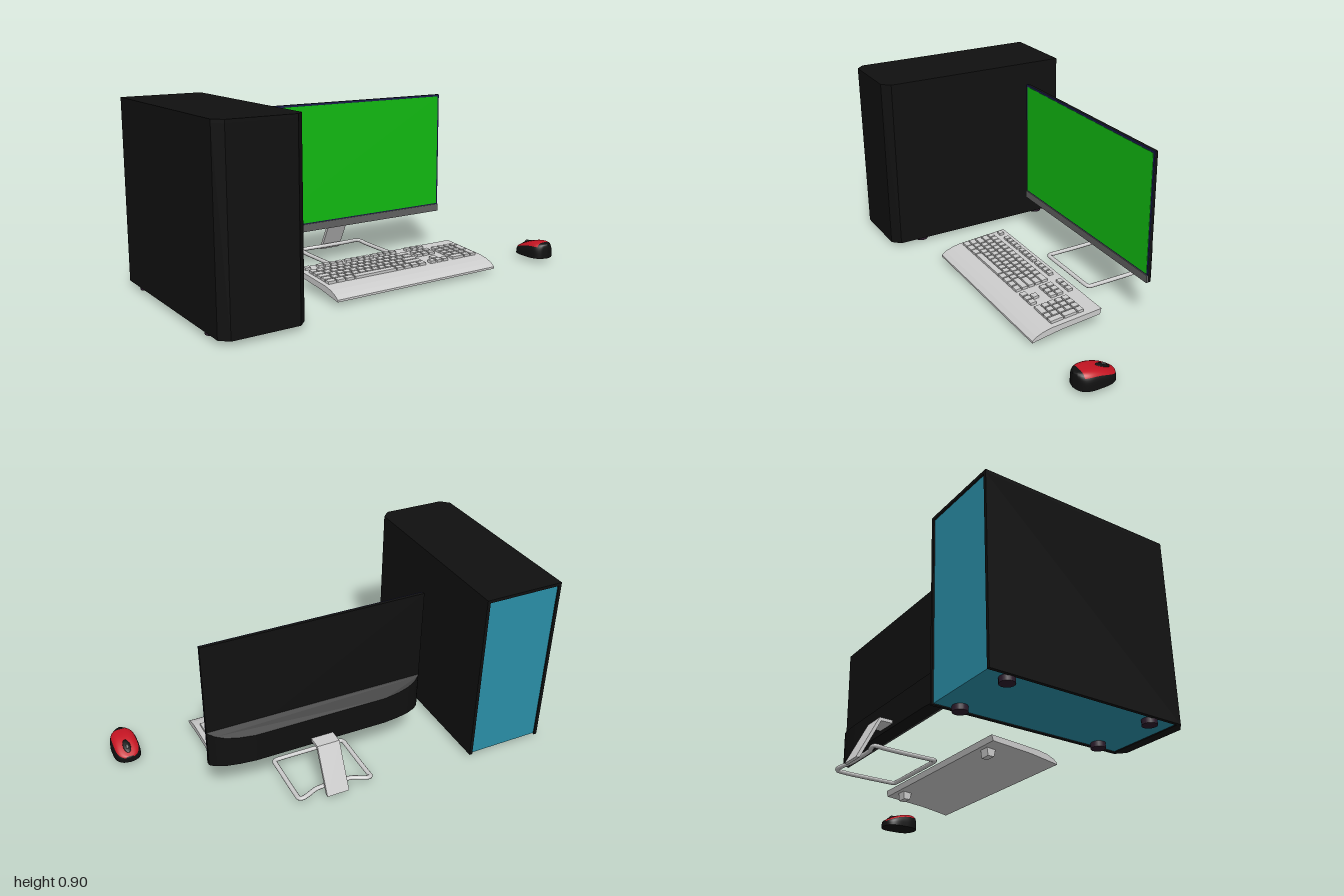
import * as THREE from 'three';
import { ParametricGeometry } from 'three/addons/geometries/ParametricGeometry.js';

const mat = (color, side = THREE.FrontSide) => new THREE.MeshStandardMaterial({ color, side });
const grey = mat(0xcccccc), black = mat(0x101010), teal = mat(0x2a8fa8), green = mat(0x11bb11);
const red = mat(0xc41422, THREE.DoubleSide), navy = mat(0x1c1c50), darkGrey = mat(0x606060), plum = mat(0x2c1c2c);

function add(parent, name, geometry, material) {
  const mesh = new THREE.Mesh(geometry, material);
  mesh.name = name;
  parent.add(mesh);
  return mesh;
}

function group(parent, name) {
  const g = new THREE.Group();
  g.name = name;
  parent.add(g);
  return g;
}

// Box given by its limits on each axis
function box(parent, name, [x0, x1], [y0, y1], [z0, z1], material) {
  const g = new THREE.BoxGeometry(x1 - x0, y1 - y0, z1 - z0);
  g.translate((x0 + x1) / 2, (y0 + y1) / 2, (z0 + z1) / 2);
  add(parent, name, g, material);
}

// Outline in (x, z), extruded upwards
function planExtrude(points, y0, y1) {
  const shape = new THREE.Shape(points.map(([x, z]) => new THREE.Vector2(x, -z)));
  const g = new THREE.ExtrudeGeometry(shape, { depth: y1 - y0, bevelEnabled: false });
  return g.rotateX(-Math.PI / 2).translate(0, y0, 0);
}

// Outline in (z, y), extruded sideways
function sideExtrude(points, x0, x1) {
  const shape = new THREE.Shape(points.map(([z, y]) => new THREE.Vector2(-z, y)));
  const g = new THREE.ExtrudeGeometry(shape, { depth: x1 - x0, bevelEnabled: false });
  return g.rotateY(Math.PI / 2).translate(x0, 0, 0);
}

function buildTower(root) {
  const tower = group(root, 'computerTower');
  // Wraparound shell with chamfered front corners
  const outline = [[-1, -0.5], [-1, 0.46], [-0.96, 0.5], [-0.64, 0.5], [-0.6, 0.46], [-0.6, -0.5]];
  const inner = [[-0.615, -0.5], [-0.615, 0.45], [-0.985, 0.45], [-0.985, -0.5]];
  add(tower, 'towerShell', planExtrude([...outline, ...inner], 0.02, 0.885), black);
  add(tower, 'towerTop', planExtrude(outline, 0.885, 0.9), black);
  // Recessed back and bottom panels
  box(tower, 'towerChassis', [-0.985, -0.615], [0.025, 0.885], [-0.493, 0.45], teal);
  for (const x of [-0.957, -0.647]) for (const z of [0.325, -0.39]) {
    add(tower, 'towerFoot', new THREE.CylinderGeometry(0.033, 0.033, 0.028, 20), plum)
      .position.set(x, 0.014, z);
  }
}

function buildMonitor(root) {
  const monitor = group(root, 'monitor');
  const cx = 0.11, half = 0.545;
  box(monitor, 'monitorPanel', [cx - half, cx + half], [0.205, 0.842], [-0.236, -0.222], black);
  box(monitor, 'screenBezel', [cx - half, cx + half], [0.24, 0.842], [-0.222, -0.219], navy);
  box(monitor, 'screen', [cx - half + 0.009, cx + half - 0.009], [0.246, 0.832], [-0.219, -0.2175], green);
  box(monitor, 'monitorChin', [cx - half, cx + half], [0.203, 0.241], [-0.222, -0.214], darkGrey);

  // Curved rear housing whose top slopes down towards the back
  const arc = [[1, -0.235], [0.985, -0.244], [0.94, -0.26], [0.86, -0.277], [0.75, -0.289], [0.61, -0.297]];
  const right = arc.map(([s, z]) => [cx + s * half, z]);
  const left = arc.map(([s, z]) => [cx - s * half, z]).reverse();
  const housing = planExtrude([...right, ...left], 0.203, 0.39);
  const p = housing.attributes.position;
  for (let i = 0; i < p.count; i++) {
    if (p.getY(i) > 0.3) p.setY(i, 0.39 + (p.getZ(i) + 0.235) * 0.65);
  }
  housing.computeVertexNormals();
  add(monitor, 'rearHousing', housing, black);

  // Bent plate neck
  add(monitor, 'standNeck', sideExtrude([
    [-0.28, 0.238], [-0.365, 0.238], [-0.478, 0.02], [-0.46, 0.02], [-0.356, 0.222], [-0.28, 0.222]],
    0.055, 0.168), grey);

  // Rounded rod loop, dipping forward and rising behind the neck
  const halfLoop = [[0, -0.139, 0], [0.15, -0.139, 0], [0.178, -0.141, 0], [0.187, -0.15, 0],
    [0.188, -0.18, 0], [0.188, -0.3, 0], [0.188, -0.41, 0.002], [0.186, -0.445, 0.006], [0.17, -0.453, 0.01],
    [0.14, -0.446, 0.014], [0.095, -0.43, 0.019], [0.05, -0.426, 0.02]];
  const loop = [...halfLoop, [0, -0.426, 0.02],
    ...halfLoop.slice(1).reverse().map(([x, z, y]) => [-x, z, y])]
    .map(([x, z, y]) => new THREE.Vector3(cx + 0.002 + x, y, z));
  const rod = new THREE.TubeGeometry(new THREE.CatmullRomCurve3(loop, true), 160, 0.0115, 10, true);
  rod.scale(1, 0.85, 1).translate(0, 0.0295, 0);
  add(monitor, 'standBase', rod, grey);
}

function buildKeyboard(root) {
  const keyboard = group(root, 'keyboard');
  // Wedge body with a sloping wrist rest
  add(keyboard, 'keyboardBody', sideExtrude([
    [-0.027, 0.088], [0.235, 0.069], [0.28, 0.06], [0.315, 0.046], [0.337, 0.03],
    [0.337, 0.02], [0.31, 0.025], [0.19, 0.043], [-0.02, 0.06]], -0.355, 0.577), grey);
  for (const x of [-0.28, 0.45]) {
    add(keyboard, 'keyboardFoot',
      sideExtrude([[0.047, 0.058], [0, 0.062], [0.005, 0.02], [0.038, 0.02]], x, x + 0.05), grey);
  }
  // One key from xa to xb, depth d, lying on the slope
  const key = (xa, xb, z, d) => {
    const m = add(keyboard, 'key', new THREE.BoxGeometry(xb - xa - 0.007, 0.018, d), grey);
    m.position.set((xa + xb) / 2, 0.09 - 0.0725 * z, z);
    m.rotation.x = 0.0725;
  };
  const run = (xa, xb, n, z, d) => {
    const w = (xb - xa) / n;
    for (let i = 0; i < n; i++) key(xa + i * w, xa + (i + 1) * w, z, d);
  };
  const rowZ = (r) => 0.066 + r * 0.036, depth = 0.029;
  // Rearmost row of small keys
  key(-0.335, -0.298, 0.01, 0.024);
  for (const x of [-0.262, -0.103, 0.056]) run(x, x + 0.145, 4, 0.01, 0.024);
  run(0.26, 0.375, 3, 0.01, 0.024);
  // Main block: wide outer keys with an even run between them
  const rows = [[0, 0.07, 13], [0.055, 0.055, 12], [0.065, 0.085, 11], [0.05, 0.1, 11]];
  rows.forEach(([a, b, n], r) => {
    if (a) key(-0.335, -0.335 + a, rowZ(r), depth);
    run(-0.335 + a, 0.235 - b, n, rowZ(r), depth);
    key(0.235 - b, 0.235, rowZ(r), depth);
  });
  run(-0.335, -0.185, 3, rowZ(4), depth);
  key(-0.185, 0.055, rowZ(4), depth);
  run(0.055, 0.235, 4, rowZ(4), depth);
  // Navigation keys and arrows
  for (const r of [0, 1, 4]) run(0.26, 0.375, 3, rowZ(r), depth);
  key(0.298, 0.337, rowZ(3), depth);
  // Number pad
  for (let r = 0; r < 4; r++) run(0.398, 0.514, 3, rowZ(r), depth);
  key(0.398, 0.475, rowZ(4), depth);
  key(0.475, 0.514, rowZ(4), depth);
  key(0.514, 0.553, rowZ(0), depth);
  for (const r of [1.5, 3.5]) key(0.514, 0.553, rowZ(r), depth + 0.036);
}

function buildMouse(root) {
  const mouse = group(root, 'mouse');
  const cx = 0.933;
  const height = (s) => 0.03 + 0.05 * Math.sin(Math.PI / 2 * s / 0.75);
  // Domed surface between two angles and two positions along its length
  const dome = (a0, a1, s0, s1, lift) => {
    const g = new ParametricGeometry((u, v, target) => {
      const a = a0 + (a1 - a0) * u, s = s0 + (s1 - s0) * v;
      const w = 0.067 * Math.sqrt(Math.max(0, 1 - Math.abs(2 * s - 1) ** 3.5));
      const c = Math.cos(a), sn = Math.max(0, Math.sin(a));
      target.set(cx + Math.sign(c) * w * Math.abs(c) ** 0.6,
        0.02 + height(s) * sn ** 0.6 + lift, 0.155 + 0.2 * s);
    }, 40, 32);
    g.computeVertexNormals();
    return g;
  };
  add(mouse, 'mouseBody', dome(0, Math.PI * 2, 0, 1, 0), black);
  add(mouse, 'mouseCover', dome(0.65, Math.PI - 0.65, 0.02, 0.86, 0.0015), red);
  // Scroll wheel set in a dark oval
  const oval = add(mouse, 'wheelSurround', new THREE.SphereGeometry(1, 20, 12), black);
  oval.scale.set(0.019, 0.006, 0.038);
  oval.position.set(cx, 0.078, 0.211);
  oval.rotation.x = -0.38;
  const wheel = add(mouse, 'scrollWheel', new THREE.CylinderGeometry(0.013, 0.013, 0.009, 20), darkGrey);
  wheel.rotation.z = Math.PI / 2;
  wheel.position.set(cx, 0.075, 0.206);
}

export function createModel() {
  const root = new THREE.Group();
  root.name = 'desktopComputer';
  buildTower(root);
  buildMonitor(root);
  buildKeyboard(root);
  buildMouse(root);
  return root;
}
